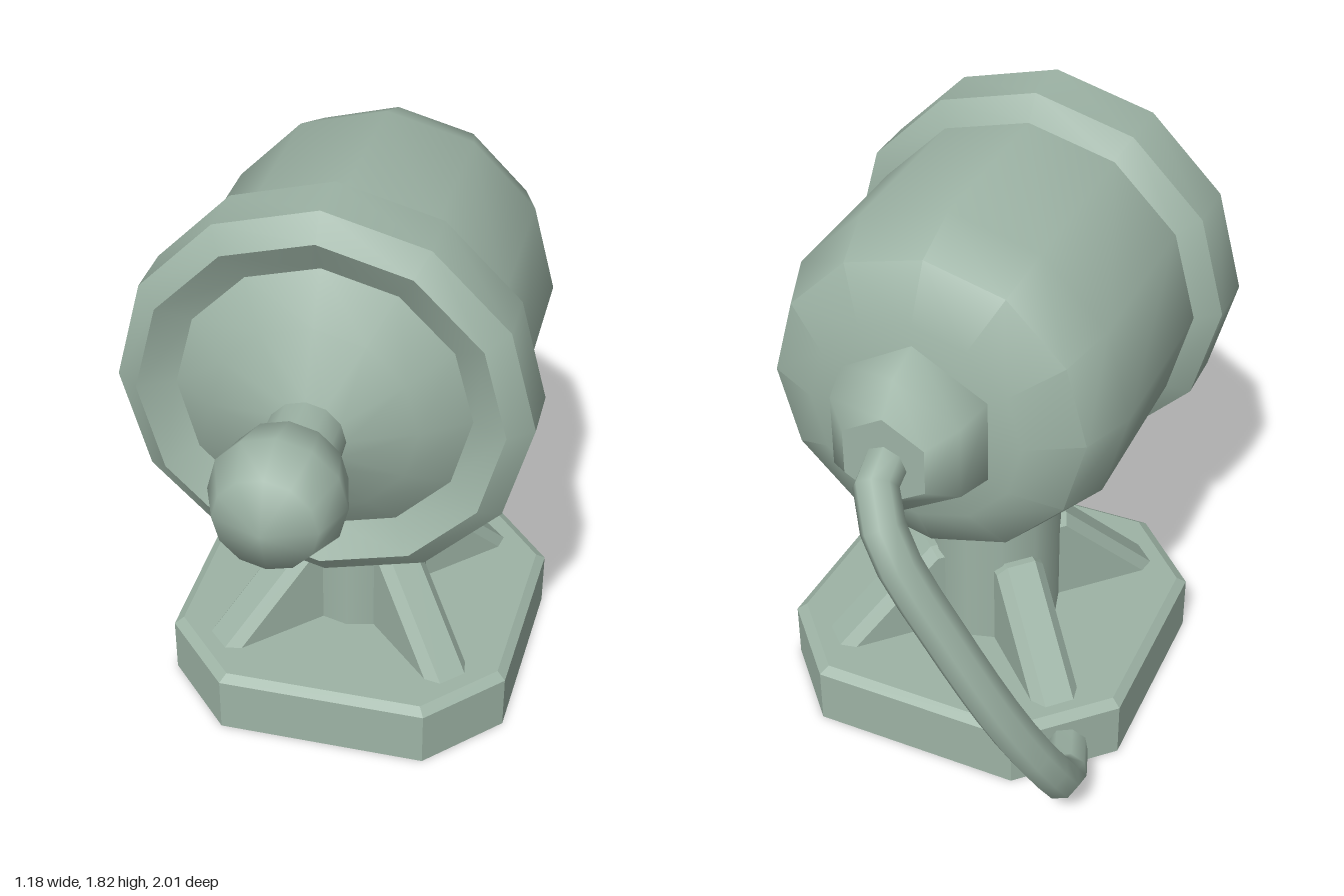
import * as THREE from 'three';
import { toCreasedNormals } from 'three/addons/utils/BufferGeometryUtils.js';

const AXIS_Y = 1.23;   // height of the housing axis
const BASE_Z = -0.085; // centre of the stand

const paint = new THREE.MeshStandardMaterial({ color: 0x9db3a5 });

function addMesh(parent, name, geometry) {
  const mesh = new THREE.Mesh(geometry, paint);
  mesh.name = name;
  parent.add(mesh);
  return mesh;
}

// Turned part along the z axis; profile is [radius, z], from back to front
function turned(profile, sides, crease) {
  const g = new THREE.LatheGeometry(profile.map(([r, z]) => new THREE.Vector2(r, z)), sides);
  g.rotateX(Math.PI / 2);
  g.translate(0, AXIS_Y, 0);
  return toCreasedNormals(g, crease);
}

// Skin over scaled copies of an outline ([x, z]); rings are [scale, y]
function loft(outline, rings) {
  const pos = [];
  const n = outline.length;
  const at = ([s, y], i) => {
    const [x, z] = outline[i % n];
    return [x * s, y, BASE_Z + (z - BASE_Z) * s];
  };
  for (let k = 0; k < rings.length - 1; k++) {
    const lo = rings[k], hi = rings[k + 1];
    for (let i = 0; i < n; i++) {
      const a = at(lo, i), b = at(lo, i + 1), c = at(hi, i + 1), d = at(hi, i);
      if (lo[0] > 0) pos.push(...a, ...b, ...c);
      if (hi[0] > 0) pos.push(...a, ...c, ...d);
      else if (lo[0] === 0) continue;
    }
  }
  const g = new THREE.BufferGeometry();
  g.setAttribute('position', new THREE.Float32BufferAttribute(pos, 3));
  g.computeVertexNormals();
  return g;
}

export function createModel() {
  const model = new THREE.Group();
  model.name = 'deskDevice';

  // Chamfered base plate, slightly out of square, hollow underneath
  const outline = [
    [0.53, 0.24], [0.555, -0.38], [0.35, -0.615], [-0.29, -0.63],
    [-0.54, -0.39], [-0.54, 0.23], [-0.32, 0.46], [0.32, 0.46],
  ];
  addMesh(model, 'base', loft(outline, [
    [0, 0.08], [0.7, 0.08], [0.7, 0], [1, 0], [1, 0.18], [0.95, 0.2], [0, 0.2],
  ]));

  // Column
  const column = new THREE.CylinderGeometry(0.21, 0.21, 0.68, 12, 1, true);
  column.translate(0, 0.5, BASE_Z);
  addMesh(model, 'column', column);

  // Four diagonal bevelled braces
  const bevel = 0.03, width = 0.15;
  const braceShape = new THREE.Shape([
    [0.08, 0.16], [0.565, 0.16], [0.53, 0.2], [0.225, 0.5], [0.08, 0.5],
  ].map(([x, y]) => new THREE.Vector2(x, y)));
  const braceGeometry = new THREE.ExtrudeGeometry(braceShape, {
    depth: width - 2 * bevel, bevelEnabled: true, bevelSegments: 1,
    bevelThickness: bevel, bevelSize: bevel, bevelOffset: -bevel,
  });
  braceGeometry.translate(0, 0, bevel - width / 2);
  for (let i = 0; i < 4; i++) {
    const brace = addMesh(model, 'brace', braceGeometry);
    brace.position.z = BASE_Z;
    brace.rotation.y = Math.PI / 4 + i * Math.PI / 2;
  }

  // Rounded housing with the thick front rim
  addMesh(model, 'housing', turned([
    [0, -0.615], [0.31, -0.61], [0.46, -0.53], [0.52, -0.37], [0.52, 0.17],
  ], 12, 0.75));
  addMesh(model, 'rim', turned([
    [0.52, 0.17], [0.59, 0.22], [0.59, 0.385], [0.52, 0.44], [0.42, 0.385],
  ], 12, 0.56));

  // Front cone, neck and ball
  addMesh(model, 'frontCone', turned([[0.42, 0.385], [0.29, 0.475], [0.11, 0.555]], 12, 0.75));
  addMesh(model, 'neck', turned([[0.11, 0.55], [0.11, 0.67]], 12, 0.75));
  addMesh(model, 'ball', turned([
    [0.1, 0.655], [0.155, 0.71], [0.187, 0.835], [0.14, 0.95], [0, 1],
  ], 12, 1.2));

  // Six-sided cable socket at the back
  addMesh(model, 'socket', turned([[0, -0.795], [0.135, -0.795]], 6, 0.5));
  addMesh(model, 'socketWall', turned([[0.135, -0.795], [0.215, -0.725], [0.25, -0.6]], 6, 1.15));

  // Cable from the socket down to the base
  const path = new THREE.CatmullRomCurve3([
    [0, 1.225, -0.76], [-0.012, 1.2, -0.865], [-0.08, 1.09, -0.938], [-0.24, 0.8, -0.93],
    [-0.38, 0.5, -0.87], [-0.465, 0.27, -0.775], [-0.475, 0.135, -0.67], [-0.43, 0.11, -0.53],
  ].map(p => new THREE.Vector3(...p)));
  addMesh(model, 'cable', new THREE.TubeGeometry(path, 14, 0.062, 8));

  return model;
}
